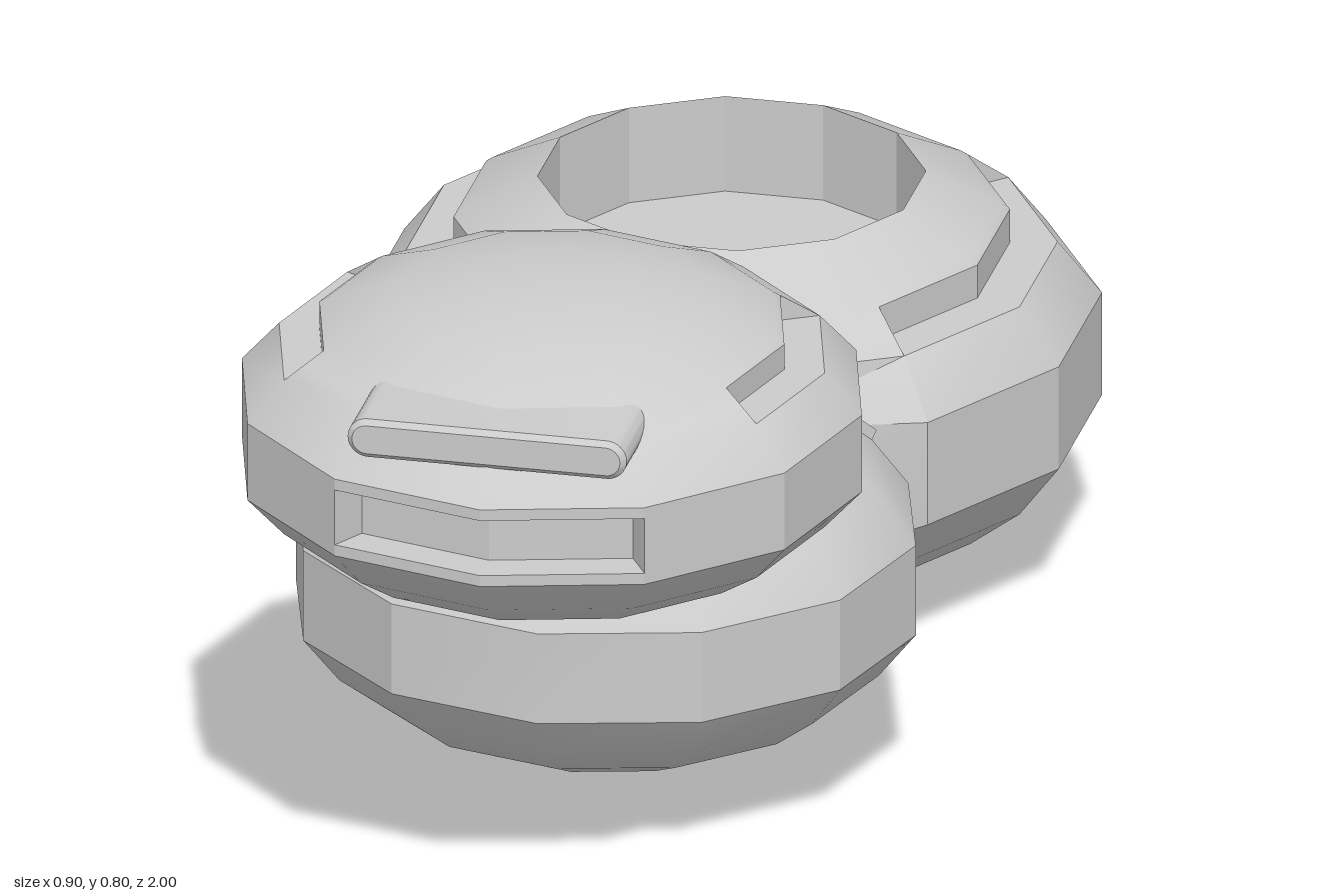
import * as THREE from 'three';
import { toCreasedNormals } from 'three/addons/utils/BufferGeometryUtils.js';

const material = new THREE.MeshStandardMaterial({ color: 0xcccccc, side: THREE.DoubleSide });
const SIDES = 12;
const STEP = (Math.PI * 2) / SIDES;

function addMesh(group, name, geometry) {
  const mesh = new THREE.Mesh(geometry, material);
  mesh.name = name;
  group.add(mesh);
  return mesh;
}

// Curved cap profile from the belt (y0) to the pole (y1): [radius, height] points
const CURVE = [[1, 0], [0.88, 0.35], [0.73, 0.61], [0.51, 0.84], [0.26, 0.96], [0, 1]];
const cap = (r, y0, y1) => CURVE.map(([a, b]) => [r * a, y0 + (y1 - y0) * b]);

// Twelve-sided pod. Each side may use its own profile (all the same length);
// where neighbouring profiles differ, the step between them is closed.
function podGeometry({ profileOf, phase = 0, z = 0, zScale = 1, minZ = -9, maxZ = 9 }) {
  const positions = [];
  const point = ([r, y], k) => {
    const a = phase + k * STEP;
    const pz = z + zScale * r * Math.sin(a);
    return new THREE.Vector3(r * Math.cos(a), y, THREE.MathUtils.clamp(pz, minZ, maxZ));
  };
  const tri = (a, b, c) => {
    const area = b.clone().sub(a).cross(c.clone().sub(a)).length();
    if (area > 1e-7) for (const p of [a, b, c]) positions.push(p.x, p.y, p.z);
  };
  const quad = (a, b, c, d) => { tri(a, b, d); tri(b, c, d); };
  for (let k = 0; k < SIDES; k++) {
    const here = profileOf(k), before = profileOf((k + SIDES - 1) % SIDES);
    for (let i = 0; i < here.length - 1; i++) {
      quad(point(here[i], k), point(here[i + 1], k), point(here[i + 1], k + 1), point(here[i], k + 1));
      if (here !== before) {
        quad(point(here[i], k), point(here[i + 1], k), point(before[i + 1], k), point(before[i], k));
      }
    }
  }
  const geometry = new THREE.BufferGeometry();
  geometry.setAttribute('position', new THREE.Float32BufferAttribute(positions, 3));
  return toCreasedNormals(geometry, 0.5);
}

// Upper cap with a spare point pair after the shoulder, so a ledge can be cut there
function ledgeCaps(r, y0, y1, inner) {
  const c = cap(r, y0, y1);
  const [s, n] = [c[1], c[2]];
  const between = (t) => [s[0] + (n[0] - s[0]) * t, s[1] + (n[1] - s[1]) * t];
  const t = (s[0] - inner) / (s[0] - n[0]);
  const edge = between(t);
  const build = (mid) => [c[0], s, mid, edge, ...c.slice(2)];
  return { plain: build(between(t / 2)), cut: build([inner, s[1]]) };
}

// Rear pod: radii are to the flat sides, open well on top, a ledge on either side
function rearPod(group) {
  const k = 1 / Math.cos(STEP / 2);
  const bottom = cap(0.45, 0.21, 0).reverse();
  const upper = ledgeCaps(0.45, 0.35, 0.552, 0.338);
  const finish = (top) => [
    ...bottom, ...top.slice(0, 5), [0.236, 0.52], [0.236, 0.39], [0, 0.39],
  ].map(([r, y]) => [r * k, y]);
  const plain = finish(upper.plain), cut = finish(upper.cut);
  const ledges = [10, 11, 0, 4, 5, 6];
  addMesh(group, 'rearPod', podGeometry({
    profileOf: (i) => (ledges.includes(i) ? cut : plain),
    phase: STEP / 2, z: -0.4, maxZ: 0,
  }));

  // Pointed tail: four-sided spike on the back of the belt
  const spike = new THREE.ConeGeometry(Math.SQRT2, 1, 4, 1, true).toNonIndexed();
  spike.rotateY(Math.PI / 4).rotateX(-Math.PI / 2);
  spike.scale(0.121, 0.07, 0.15).translate(0, 0.28, -0.925);
  spike.computeVertexNormals();
  addMesh(group, 'tailSpike', spike);
}

// Middle pod with two raised wedge panels towards the rear
function middlePod(group) {
  const bottom = cap(0.4, 0.222, 0.05).reverse();
  const top = cap(0.4, 0.345, 0.53);
  const pairs = [top[0], top[1], top[1], ...top.slice(2, 4), top[4], top[4], top[5]];
  const raised = pairs.map(([r, y], i) => (i >= 2 && i <= 5 ? [r + 0.006, y + 0.013] : [r, y]));
  const plain = [...bottom, ...pairs], panel = [...bottom, ...raised];
  addMesh(group, 'middlePod', podGeometry({
    profileOf: (i) => (i === 7 || i === 10 ? panel : plain),
    z: 0.3, zScale: 0.95, minZ: 0,
  }));
}

// Front pod: ledges at both sides and the back, mouth slot across the front
function frontPod(group) {
  const bottom = cap(0.4, 0.545, 0.395).reverse();
  const upper = ledgeCaps(0.4, 0.65, 0.802, 0.3);
  const slot = (r) => [[0.4, 0.56], [r, 0.56], [r, 0.635], [0.4, 0.635]];
  const plain = [...bottom, ...slot(0.4), ...upper.plain];
  const ledge = [...bottom, ...slot(0.4), ...upper.cut];
  const mouth = [...bottom, ...slot(0.35), ...upper.plain];
  const ledges = [11, 0, 5, 6, 8, 9];
  addMesh(group, 'frontPod', podGeometry({
    profileOf: (i) => (ledges.includes(i) ? ledge : i === 2 || i === 3 ? mouth : plain),
    z: 0.6,
  }));

  // Visor: rounded bar standing out above the mouth
  const bevel = 0.007, r = 0.026 - bevel, w = 0.154;
  const shape = new THREE.Shape();
  shape.absarc(w, 0, r, -Math.PI / 2, Math.PI / 2);
  shape.absarc(-w, 0, r, Math.PI / 2, Math.PI * 1.5);
  shape.closePath();
  const visor = new THREE.ExtrudeGeometry(shape, {
    depth: 0.16, bevelSize: bevel, bevelThickness: bevel, bevelSegments: 1, curveSegments: 8,
  });
  visor.translate(0, 0.717, 0.8);
  addMesh(group, 'visor', toCreasedNormals(visor, 0.5));
}

export function createModel() {
  const group = new THREE.Group();
  group.name = 'podVehicle';
  rearPod(group);
  middlePod(group);
  frontPod(group);
  return group;
}
